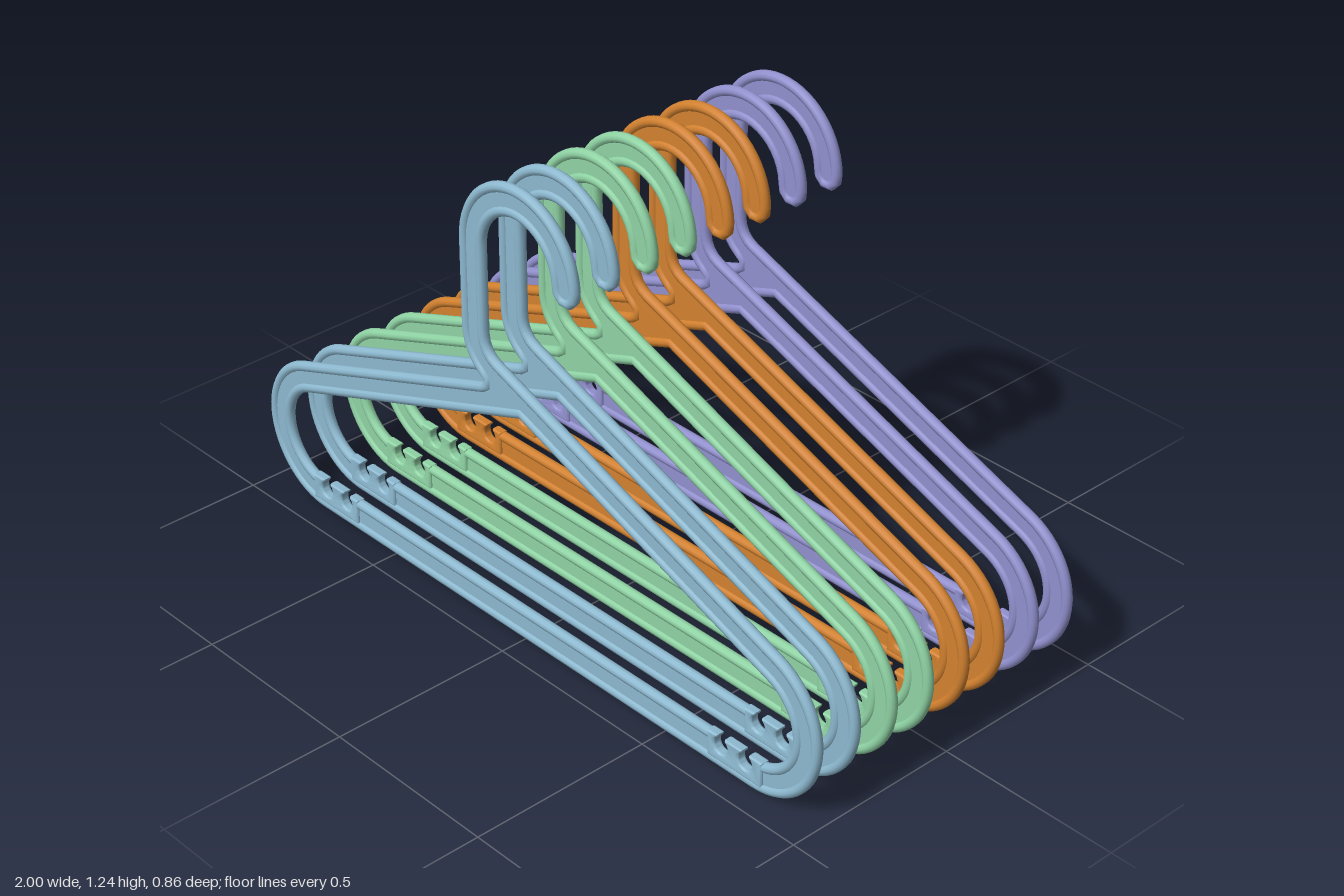
import * as THREE from 'three';
import { toCreasedNormals } from 'three/addons/utils/BufferGeometryUtils.js';

const RIM = 0.014; // rim radius, half the hanger thickness
const rad = THREE.MathUtils.degToRad;

// Centre line of the rim around the outside, hook included
function outerPath() {
  const p = new THREE.Shape();
  p.moveTo(-0.79, RIM);
  p.absarc(0.79, 0.21, 0.196, rad(-90), rad(70), false);
  p.lineTo(-0.085, 0.737);
  p.quadraticCurveTo(-0.134, 0.755, -0.134, 0.81);
  p.lineTo(-0.134, 1.04);
  p.absarc(0, 1.04, 0.134, Math.PI, 0, true);
  p.absarc(0.1625, 1.04, 0.0285, Math.PI, 2 * Math.PI, false);
  p.absarc(0, 1.04, 0.191, 0, Math.PI, false);
  p.lineTo(-0.191, 0.81);
  p.quadraticCurveTo(-0.191, 0.735, -0.128, 0.697);
  p.quadraticCurveTo(-0.1, 0.68, -0.135, 0.657);
  p.absarc(-0.79, 0.21, 0.196, rad(110), rad(270), false);
  p.closePath();
  return p;
}

// Inner edge: end loops and shoulders, added to a path
function addInnerEdge(p) {
  p.absarc(0.79, 0.21, 0.139, rad(-80), rad(70), false);
  p.lineTo(0, 0.645);
  p.absarc(-0.79, 0.21, 0.139, rad(110), rad(260), false);
  return p;
}

function rimTube(path, samples, closed) {
  const pts = path.getSpacedPoints(samples).map((q) => new THREE.Vector3(q.x, q.y, 0));
  if (closed) pts.pop();
  const curve = new THREE.CatmullRomCurve3(pts, closed);
  return new THREE.TubeGeometry(curve, samples, RIM, 10, closed);
}

// Thin recessed web between the rims
function webGeometry() {
  const shape = outerPath();
  const hole = new THREE.Path();
  hole.moveTo(0.66, 0.075);
  hole.lineTo(0.66, 0.035);
  hole.lineTo(0.815, 0.035);
  addInnerEdge(hole);
  hole.lineTo(-0.815, 0.035);
  hole.lineTo(-0.66, 0.035);
  hole.lineTo(-0.66, 0.075);
  hole.closePath();
  shape.holes.push(hole);
  const geo = new THREE.ExtrudeGeometry(shape, { depth: 0.014, bevelEnabled: false, curveSegments: 20 });
  return geo.translate(0, 0, -0.007);
}

// Rounded block with two keyhole strap notches
function notchGeometry() {
  const s = new THREE.Shape();
  s.moveTo(0.645, 0.02);
  s.lineTo(0.825, 0.02);
  s.lineTo(0.825, 0.09);
  for (const x of [0.77, 0.69]) {
    s.lineTo(x + 0.012, 0.09);
    s.absarc(x, 0.066, 0.022, rad(57), rad(123), true);
    s.lineTo(x - 0.012, 0.09);
  }
  s.lineTo(0.645, 0.09);
  s.closePath();
  const geo = new THREE.ExtrudeGeometry(s, {
    depth: 0.014, bevelThickness: 0.007, bevelSize: 0.006, bevelOffset: -0.006,
    bevelSegments: 3, curveSegments: 16,
  });
  return toCreasedNormals(geo.translate(0, 0, -0.007), 0.7);
}

export function createModel() {
  const model = new THREE.Group();
  model.name = 'hangerSet';

  const colours = [
    ['blue', 0x8db9d0], ['green', 0x8fd3a4], ['orange', 0xd2812f], ['purple', 0x9190ce],
  ].map(([name, color]) => {
    const m = new THREE.MeshStandardMaterial({ color });
    m.name = name;
    return m;
  });

  const outerRim = rimTube(outerPath(), 300, true);
  const innerRim = rimTube(addInnerEdge(new THREE.Path()), 150, false);
  const barRim = new THREE.CylinderGeometry(RIM, RIM, 1.31, 10, 1, true)
    .rotateZ(Math.PI / 2).translate(0, 0.076, 0);
  const web = webGeometry();
  const notches = notchGeometry();

  // Eight hangers, front to back, two of each colour
  for (let i = 0; i < 8; i++) {
    const hanger = new THREE.Group();
    hanger.name = 'hanger' + (i + 1);
    hanger.position.z = (3.5 - i) * 0.1195;
    const add = (name, geo, turn = 0) => {
      const mesh = new THREE.Mesh(geo, colours[Math.floor(i / 2)]);
      mesh.name = name;
      mesh.rotation.y = turn;
      hanger.add(mesh);
    };
    add('outerRim', outerRim);
    add('innerRim', innerRim);
    add('barRim', barRim);
    add('web', web);
    add('leftStrapNotches', notches);
    add('rightStrapNotches', notches, Math.PI);
    model.add(hanger);
  }
  return model;
}
